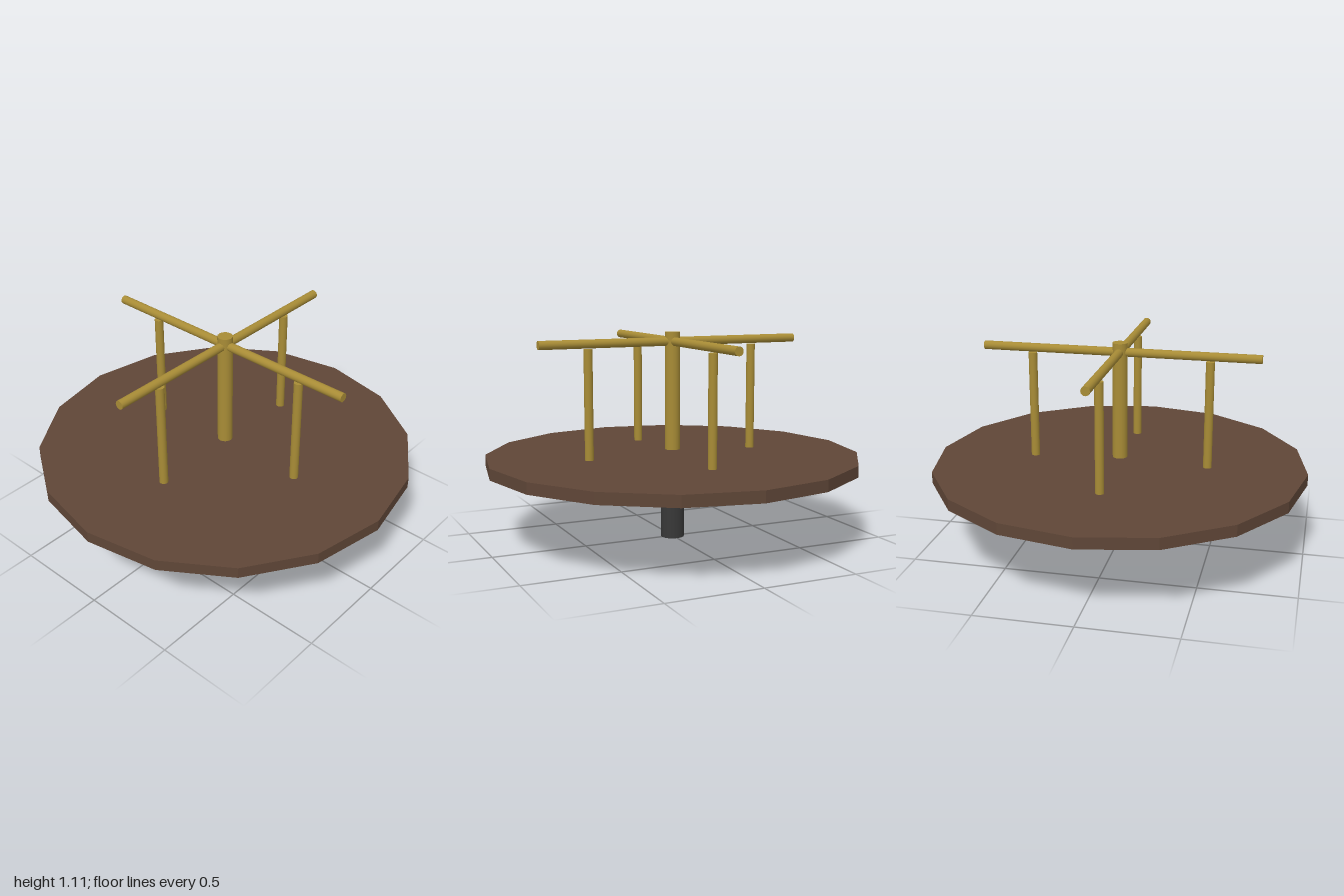
import * as THREE from 'three';

export function createModel() {
  const group = new THREE.Group();
  const wood = new THREE.MeshStandardMaterial({ color: 0x5f4637, flatShading: true });
  wood.name = 'brown deck';
  const brass = new THREE.MeshStandardMaterial({ color: 0xa88c36 });
  brass.name = 'brass rail';
  const iron = new THREE.MeshStandardMaterial({ color: 0x383838 });
  iron.name = 'dark iron';

  // Upright cylinder spanning y0..y1
  function post(name, radius, y0, y1, x, z, material, sides = 16) {
    const mesh = new THREE.Mesh(new THREE.CylinderGeometry(radius, radius, y1 - y0, sides), material);
    mesh.position.set(x, (y0 + y1) / 2, z);
    mesh.name = name;
    group.add(mesh);
    return mesh;
  }

  // Pedestal, faceted deck and central hub post
  post('pedestal', 0.063, 0, 0.395, 0, 0, iron);
  post('deck', 1, 0.395, 0.455, 0, 0, wood);
  post('hubPost', 0.04, 0.48, 1.107, 0, 0, brass);

  // Four uprights around the hub
  for (let i = 0; i < 4; i++) {
    const a = (i * Math.PI) / 2;
    post('upright', 0.023, 0.455, 1.03, 0.473 * Math.cos(a), 0.473 * Math.sin(a), brass);
  }

  // Two crossed handrails resting over the uprights
  for (const axis of ['x', 'z']) {
    const rail = post('handrail', 0.023, 0, 1.474, 0, 0, brass);
    rail.position.set(0, 1.057, 0);
    if (axis === 'x') rail.rotation.z = Math.PI / 2;
    else rail.rotation.x = Math.PI / 2;
  }
  return group;
}
